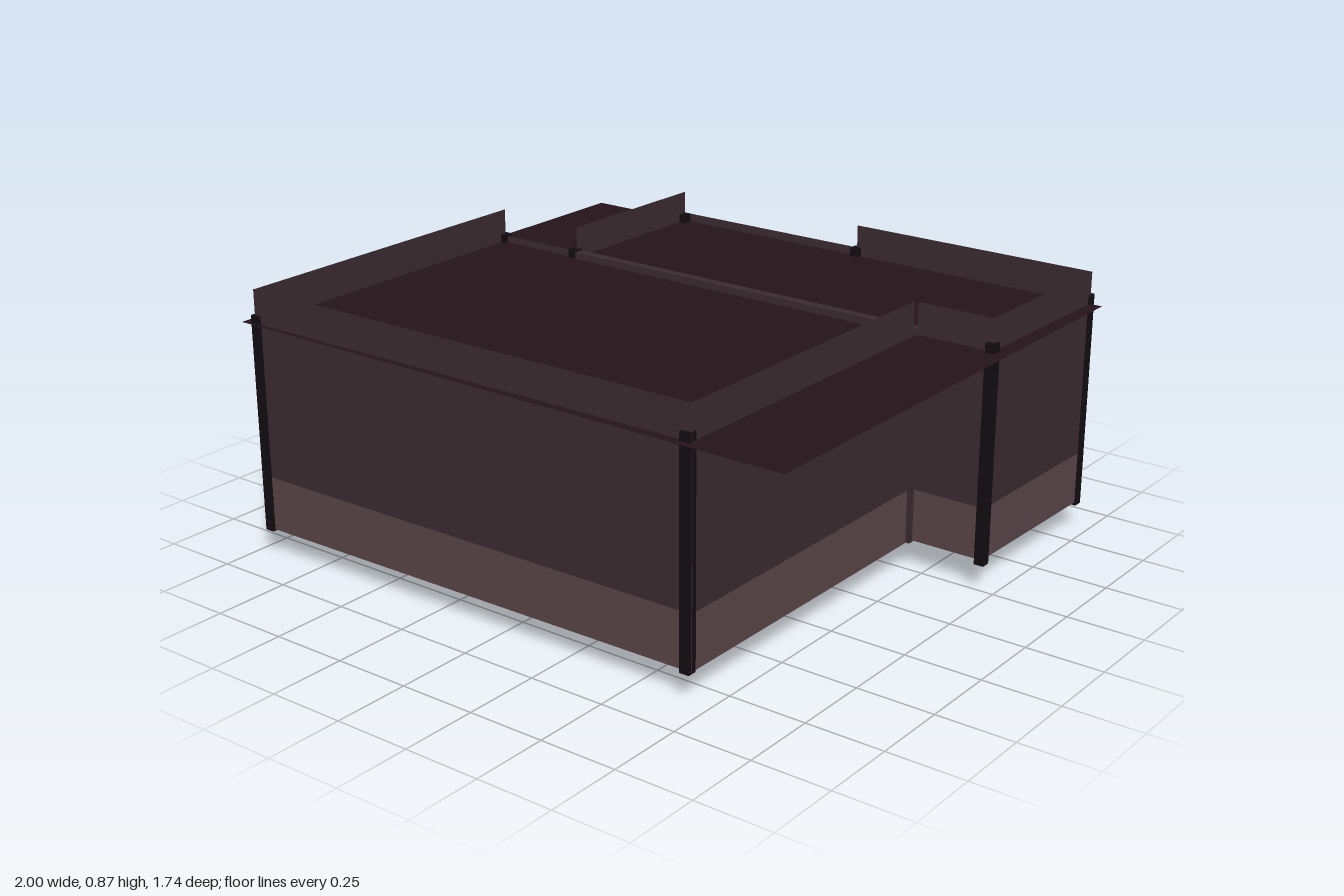
import * as THREE from 'three';

const mat = (color) => new THREE.MeshStandardMaterial({ color, side: THREE.DoubleSide });

export function createModel() {
  const model = new THREE.Group();
  const wallMat = mat(0x3b2b30), bandMat = mat(0x5a4548);
  const postMat = mat(0x130c10), roofMat = mat(0x25131a);

  const add = (name, geometry, material, parent = model) => {
    const mesh = new THREE.Mesh(geometry, material);
    mesh.name = name;
    parent.add(mesh);
    return mesh;
  };

  // Flat upright sheet of a given length, with an optional doorway [from, to, top]
  const sheet = (length, y0, y1, door) => {
    const s = new THREE.Shape();
    s.moveTo(0, y0);
    if (door) {
      s.lineTo(door[0], y0);
      s.lineTo(door[0], door[2]);
      s.lineTo(door[1], door[2]);
      s.lineTo(door[1], y0);
    }
    s.lineTo(length, y0);
    s.lineTo(length, y1);
    s.lineTo(0, y1);
    return s;
  };

  // Wall between two plan points; a band height adds a lighter lower strip
  const wall = (name, [x0, z0], [x1, z1], y0, y1, bandTop, door) => {
    const group = new THREE.Group();
    group.name = name;
    group.position.set(x0, 0, z0);
    group.rotation.y = -Math.atan2(z1 - z0, x1 - x0);
    const length = Math.hypot(x1 - x0, z1 - z0);
    add('wallPanel', new THREE.ShapeGeometry(sheet(length, bandTop ?? y0, y1, door)), wallMat, group);
    if (bandTop) add('wallBand', new THREE.ShapeGeometry(sheet(length, y0, bandTop)), bandMat, group);
    model.add(group);
  };

  // Front room
  wall('frontWall', [-0.955, 0.855], [0.685, 0.835], 0.085, 0.867, 0.26);
  wall('frontRoomLeftWall', [0.682, 0.835], [0.688, -0.25], 0.085, 0.867, 0.26);
  wall('frontRoomRightWall', [-0.95, 0.855], [-0.95, -0.275], 0.085, 0.867, 0.26);
  wall('frontRoomBackWall', [-0.955, -0.265], [-0.615, -0.265], 0, 0.78, 0.175);

  // Back room
  wall('backRoomFrontWall', [0.69, -0.27], [0.955, -0.27], 0.09, 0.86, 0.26);
  wall('backRoomLeftWall', [0.945, -0.27], [0.957, -0.855], 0.09, 0.86, 0.26);
  wall('backRoomRightWall', [-0.63, -0.27], [-0.62, -0.85], 0.09, 0.86, 0.26);
  wall('backWall', [0.095, -0.855], [0.957, -0.855], 0.09, 0.86, 0.26);
  wall('backDoorWall', [-0.62, -0.85], [0.095, -0.852], 0.08, 0.785, null, [0.18, 0.43, 0.46]);

  // Thick partition with a doorway between the rooms
  const partition = add('partitionWall', new THREE.ExtrudeGeometry(
    sheet(1.325, 0.085, 0.78, [0.155, 0.525, 0.46]),
    { depth: 0.03, bevelEnabled: false }), wallMat);
  partition.position.set(-0.625, 0, -0.283);

  // Corner and joint posts
  const posts = [
    [-0.947, 0.848], [0.667, 0.832], [-0.947, -0.267], [-0.637, -0.27], [0.657, -0.237],
    [0.945, -0.268], [0.945, -0.857], [0.095, -0.853], [-0.612, -0.835],
  ];
  const postGeometry = new THREE.BoxGeometry(0.032, 0.705, 0.032);
  for (const [x, z] of posts) add('post', postGeometry, postMat).position.set(x, 0.4325, z);

  // Flat roof sheet, set below the wall tops
  const roof = add('roof', new THREE.PlaneGeometry(2, 1.72).rotateX(-Math.PI / 2), roofMat);
  roof.position.set(0, 0.757, 0.009);

  return model;
}
